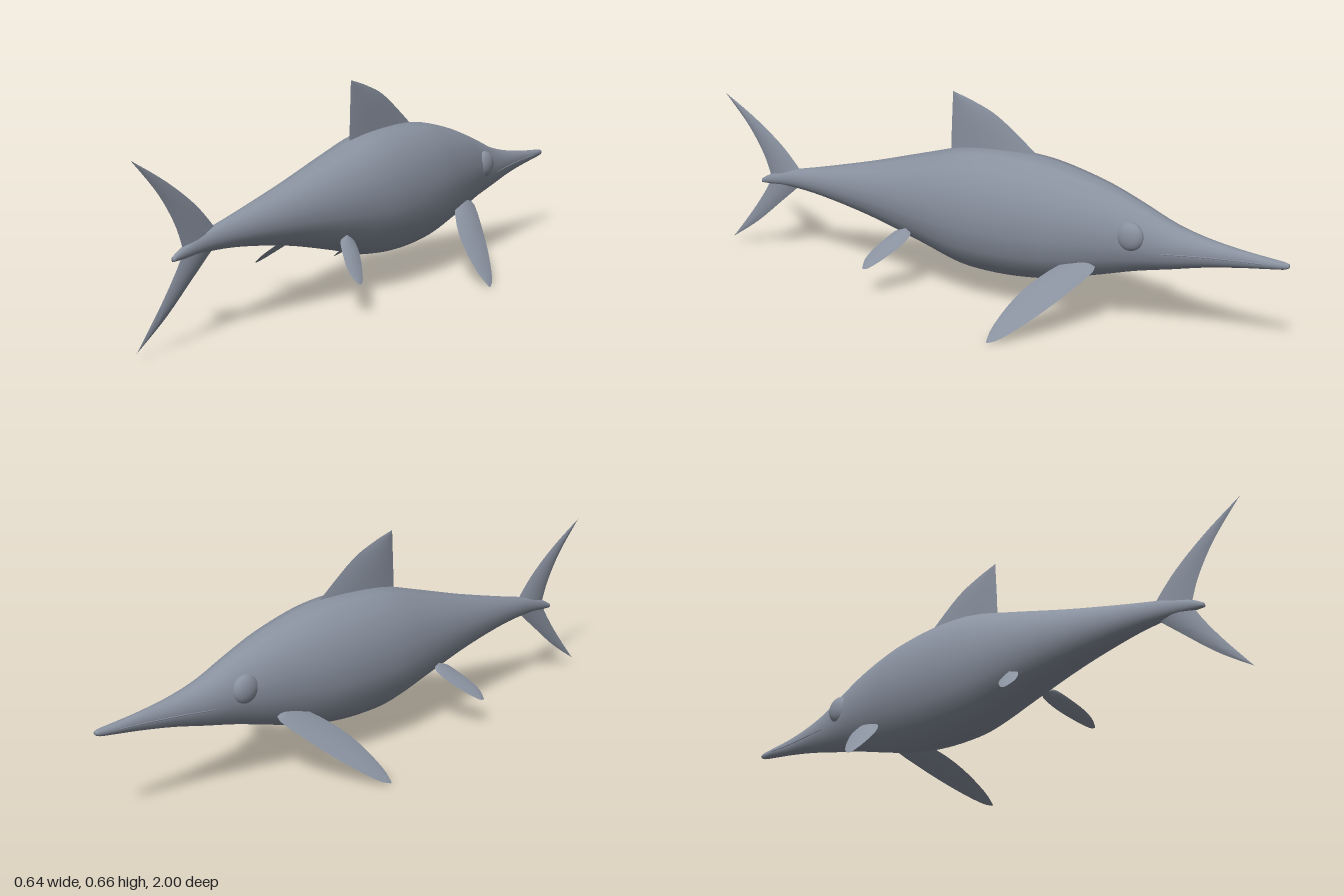
import * as THREE from 'three';
import { toCreasedNormals } from 'three/addons/utils/BufferGeometryUtils.js';

// Closed skin over rings of points, with fan caps at both ends
function loft(rings) {
  const n = rings[0].length, m = rings.length, pos = [], idx = [];
  rings.forEach(r => r.forEach(p => pos.push(p.x, p.y, p.z)));
  for (let i = 0; i < m - 1; i++) for (let j = 0; j < n; j++) {
    const k = (j + 1) % n, a = i * n + j, b = i * n + k;
    idx.push(a, b, a + n, b, b + n, a + n);
  }
  [0, m - 1].forEach((i, end) => {
    const c = rings[i].reduce((s, p) => s.add(p), new THREE.Vector3()).divideScalar(n);
    const ci = pos.length / 3;
    pos.push(c.x, c.y, c.z);
    for (let j = 0; j < n; j++) {
      const a = i * n + j, b = i * n + (j + 1) % n;
      idx.push(ci, ...(end ? [a, b] : [b, a]));
    }
  });
  // Turn the skin outward if its volume is negative
  const v = i => new THREE.Vector3().fromArray(pos, i * 3);
  let volume = 0;
  for (let i = 0; i < idx.length; i += 3) volume += v(idx[i]).dot(v(idx[i + 1]).cross(v(idx[i + 2])));
  if (volume < 0) idx.reverse();
  const g = new THREE.BufferGeometry();
  g.setAttribute('position', new THREE.Float32BufferAttribute(pos, 3));
  g.setIndex(idx);
  g.computeVertexNormals();
  return g;
}

const spline = pts => new THREE.SplineCurve(pts.map(p => new THREE.Vector2(p[0], p[1])));

// Fin with a lens section between a leading and a trailing edge, given as [z, y]
function fin(lead, trail, thick, place) {
  const L = spline(lead), T = spline(trail), rings = [], M = 14, N = 14;
  for (let i = 0; i <= M; i++) {
    const t = i / M, a = L.getPoint(t), b = T.getPoint(t), th = thick * (1 - 0.96 * t);
    rings.push(Array.from({ length: N }, (_, j) => {
      const an = j / N * Math.PI * 2, p = a.clone().lerp(b, 0.5 - 0.5 * Math.cos(an));
      return place(p.x, p.y, th * Math.sin(an) * Math.abs(Math.sin(an)));
    }));
  }
  return toCreasedNormals(loft(rings), 0.7);
}

// Body stations: z, top, bottom, half width
const BODY = [
  [-1, 0.293, 0.283, 0.006], [-0.985, 0.298, 0.276, 0.011], [-0.93, 0.303, 0.268, 0.017],
  [-0.85, 0.312, 0.256, 0.022], [-0.75, 0.328, 0.238, 0.036], [-0.65, 0.355, 0.214, 0.054],
  [-0.54, 0.402, 0.188, 0.075], [-0.43, 0.444, 0.156, 0.1], [-0.3, 0.479, 0.12, 0.125],
  [-0.2, 0.495, 0.103, 0.138], [-0.08, 0.5, 0.096, 0.143], [0.05, 0.488, 0.105, 0.138],
  [0.2, 0.447, 0.148, 0.117], [0.4, 0.389, 0.2, 0.08], [0.6, 0.338, 0.235, 0.043],
  [0.73, 0.307, 0.246, 0.022], [0.82, 0.278, 0.243, 0.012], [0.86, 0.256, 0.242, 0.006],
];

export function createModel() {
  const group = new THREE.Group();
  const skin = new THREE.MeshStandardMaterial({ color: 0x89919f });
  skin.name = 'slate grey skin';
  const add = (name, geo) => {
    const m = new THREE.Mesh(geo, skin);
    m.name = name;
    group.add(m);
    return m;
  };

  // Body, long snout and tail stock
  const [top, bottom, width] = [1, 2, 3].map(k => spline(BODY.map(s => [s[0], s[k]])));
  const rings = [], M = 68, SIDES = 18;
  for (let i = 0; i <= M; i++) {
    const a = top.getPoint(i / M), b = bottom.getPoint(i / M).y, w = width.getPoint(i / M).y;
    rings.push(Array.from({ length: SIDES }, (_, j) => {
      const an = Math.PI / 2 + j / SIDES * Math.PI * 2;
      return new THREE.Vector3(w * Math.cos(an), (a.y + b) / 2 + (a.y - b) / 2 * Math.sin(an), a.x);
    }));
  }
  add('body', loft(rings));

  // Upright fins on the centre line
  const upright = (z, y, w) => new THREE.Vector3(w, y, z);
  add('dorsalFin', fin(
    [[-0.21, 0.485], [-0.07, 0.593], [0.02, 0.635], [0.1, 0.66]],
    [[0.108, 0.46], [0.105, 0.55], [0.102, 0.61], [0.1, 0.66]], 0.012, upright));
  add('upperTailLobe', fin(
    [[0.69, 0.3], [0.77, 0.385], [0.88, 0.468], [1, 0.54]],
    [[0.82, 0.265], [0.85, 0.345], [0.91, 0.44], [1, 0.54]], 0.011, upright));
  add('lowerTailLobe', fin(
    [[0.69, 0.265], [0.78, 0.188], [0.89, 0.095], [1, 0.02]],
    [[0.82, 0.265], [0.85, 0.213], [0.91, 0.13], [1, 0.02]], 0.011, upright));

  for (const [side, s] of [['left', 1], ['right', -1]]) {
    // Paddles slanting down and outward
    const slanted = (z, y, w) =>
      new THREE.Vector3(s * (0.09 + (0.2 - y) * 1.15 + w * 0.656), y + w * 0.754, z);
    add(side + 'FrontFlipper', fin(
      [[-0.41, 0.212], [-0.437, 0.198], [-0.37, 0.125], [-0.3, 0.062], [-0.235, 0.014], [-0.2, 0]],
      [[-0.38, 0.212], [-0.33, 0.2], [-0.262, 0.148], [-0.22, 0.095], [-0.195, 0.035], [-0.195, 0.001]],
      0.011, slanted));
    add(side + 'RearFlipper', fin(
      [[0.22, 0.207], [0.205, 0.195], [0.225, 0.162], [0.265, 0.125], [0.298, 0.101], [0.315, 0.098]],
      [[0.235, 0.207], [0.262, 0.2], [0.29, 0.172], [0.312, 0.145], [0.323, 0.12], [0.318, 0.1]],
      0.009, slanted));

    // Bulging eye
    const eye = add(side + 'Eye', new THREE.SphereGeometry(0.045, 20, 14));
    eye.scale.x = 0.55;
    eye.position.set(s * 0.064, 0.315, -0.535);

    // Thin mouth line along the snout
    const path = new THREE.CatmullRomCurve3([
      [0.056, 0.274, -0.63], [0.0355, 0.28, -0.75], [0.0215, 0.283, -0.85], [0.0165, 0.286, -0.93],
    ].map(p => new THREE.Vector3(s * p[0], p[1], p[2])));
    add(side + 'MouthLine', new THREE.TubeGeometry(path, 16, 0.002, 6));
  }
  return group;
}
